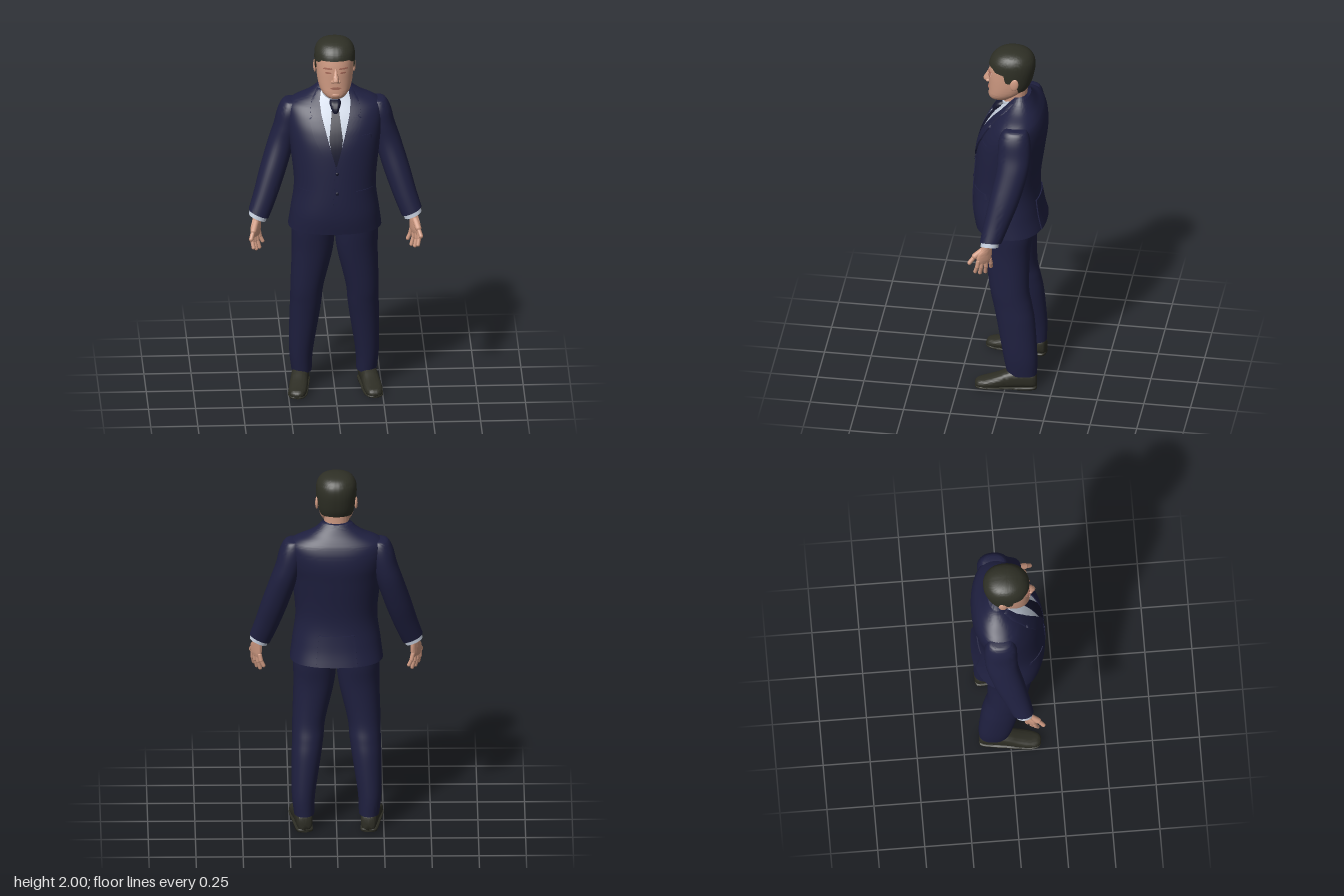
import * as THREE from 'three';
import { mergeVertices, toCreasedNormals } from 'three/addons/utils/BufferGeometryUtils.js';

const material = (name, color) => {
  const m = new THREE.MeshStandardMaterial({ color });
  m.name = name;
  return m;
};

// Grid surface from fn(i, j); the front lies on the side of dj x di.
function grid(nu, nv, fn) {
  const pos = [], idx = [];
  for (let j = 0; j <= nv; j++) for (let i = 0; i <= nu; i++) pos.push(...fn(i, j));
  for (let j = 0; j < nv; j++) for (let i = 0; i < nu; i++) {
    const a = j * (nu + 1) + i, b = a + nu + 1;
    idx.push(a, b, a + 1, a + 1, b, b + 1);
  }
  const g = new THREE.BufferGeometry();
  g.setAttribute('position', new THREE.Float32BufferAttribute(pos, 3));
  g.setIndex(idx);
  return toCreasedNormals(mergeVertices(g, 1e-5), 1.0);
}

// Section rows are [y, centreX, halfWidth, zBack, zFront, power, tilt].
function section(keys, t) {
  const n = keys.length - 1, i = Math.min(n - 1, Math.floor(t)), f = t - i;
  const k = (o, c) => keys[Math.max(0, Math.min(n, i + o))][c] ?? (c === 5 ? 2.2 : 0);
  return [0, 1, 2, 3, 4, 5, 6].map((c) => {
    const [a, b, d, e] = [k(-1, c), k(0, c), k(1, c), k(2, c)];
    return b + 0.5 * f * (d - a + f * (2 * a - 5 * b + 4 * d - e + f * (3 * (b - d) + e - a)));
  });
}
function sectionAt(keys, y) {
  let lo = 0, hi = keys.length - 1;
  for (let i = 0; i < 24; i++) {
    const m = (lo + hi) / 2;
    if (section(keys, m)[0] < y) lo = m; else hi = m;
  }
  return section(keys, lo);
}
function ringPoint([y, cx, rx, zb, zf, p, tilt], a, grow = 0) {
  const pw = (v) => Math.sign(v) * Math.abs(v) ** (2 / p);
  const dx = (rx + grow) * pw(Math.cos(a));
  return [cx + dx, y + tilt * dx, (zb + zf) / 2 + ((zf - zb) / 2 + grow) * pw(Math.sin(a))];
}
// Closed smooth body through the sections.
function loft(keys, nu = 40, per = 5) {
  const nv = (keys.length - 1) * per;
  return grid(nu, nv + 2, (i, j) => {
    const s = section(keys, Math.max(0, Math.min(nv, j - 1)) / per);
    if (j === 0 || j === nv + 2) return [s[1], s[0], (s[3] + s[4]) / 2];
    return ringPoint(s, (i % nu) / nu * Math.PI * 2);
  });
}
// Thin panel following a body; rows are [y, x0, x1] from the top down.
function panel(keys, rows, off, back = false) {
  const per = 6, nu = 12, nv = (rows.length - 1) * per;
  return grid(nu, nv + 2, (i, j) => {
    const t = Math.max(0, Math.min(nv, j - 1)) / per;
    const r = Math.min(rows.length - 2, Math.floor(t)), f = t - r;
    const [y, x0, x1] = rows[r].map((v, c) => v + (rows[r + 1][c] - v) * f);
    let u = Math.max(0, Math.min(1, (i - 1) / (nu - 2)));
    if (back) u = 1 - u;
    const x = x0 + (x1 - x0) * u;
    const [, cx, rx, zb, zf, p] = sectionAt(keys, y);
    const d = (zf - zb) / 2 * (1 - Math.min(0.985, Math.abs((x - cx) / rx)) ** p) ** (1 / p);
    const edge = i === 0 || i === nu || j === 0 || j === nv + 2;
    return [x, y, (zb + zf) / 2 + (back ? -1 : 1) * (d + (edge ? -0.004 : off))];
  });
}
const flip = (rows) => rows.map(([y, a, b]) => [y, -b, -a]);

const TORSO = [
  [0.95, 0, 0.247, -0.19, 0.183, 2.4], [1.05, 0, 0.234, -0.168, 0.197, 2.3], [1.2, 0, 0.217, -0.155, 0.193, 2.2],
  [1.4, 0, 0.237, -0.18, 0.175, 2.2], [1.5, 0, 0.25, -0.193, 0.148, 2.3], [1.57, 0, 0.255, -0.19, 0.112, 2.4],
  [1.62, 0, 0.25, -0.176, 0.076, 2.4], [1.65, 0, 0.215, -0.16, 0.05, 2.3], [1.68, 0, 0.15, -0.14, 0.025, 2.2],
  [1.71, 0, 0.105, -0.122, 0.005, 2.1], [1.735, 0, 0.083, -0.107, -0.01, 2]];
const HEAD = [
  [1.692, 0, 0.03, 0.02, 0.1], [1.705, 0, 0.055, -0.01, 0.115], [1.73, 0, 0.076, -0.04, 0.118],
  [1.76, 0, 0.088, -0.075, 0.117], [1.8, 0, 0.095, -0.1, 0.117], [1.85, 0, 0.099, -0.115, 0.117],
  [1.9, 0, 0.101, -0.123, 0.111], [1.94, 0, 0.097, -0.118, 0.1], [1.97, 0, 0.08, -0.098, 0.075],
  [1.985, 0, 0.057, -0.07, 0.046], [1.992, 0, 0.03, -0.04, 0.018], [1.994, 0, 0.001, -0.012, -0.01]];
const ARM = [
  [1.64, 0.225, 0.02, -0.09, -0.03], [1.63, 0.23, 0.045, -0.12, 0.005], [1.58, 0.236, 0.065, -0.138, 0.028],
  [1.5, 0.252, 0.069, -0.143, 0.032], [1.4, 0.283, 0.067, -0.133, 0.036, 2.2, 0.2],
  [1.25, 0.33, 0.065, -0.093, 0.066, 2.2, 0.3], [1.12, 0.372, 0.058, -0.045, 0.09, 2.2, 0.4],
  [1.03, 0.405, 0.053, -0.01, 0.105, 2.2, 0.45]].reverse();
const LEG = [
  [0.085, 0.172, 0.054, -0.165, -0.005], [0.2, 0.175, 0.063, -0.167, 0.015], [0.4, 0.16, 0.078, -0.152, 0.05],
  [0.5, 0.152, 0.083, -0.135, 0.07], [0.6, 0.146, 0.088, -0.118, 0.09], [0.8, 0.12, 0.108, -0.12, 0.12],
  [0.92, 0.115, 0.115, -0.135, 0.14], [1.0, 0.115, 0.113, -0.14, 0.15]];
// Shoe sections run from heel to toe: [length, x, halfWidth, -top, -bottom].
const SHOE = [
  [-0.165, 0, 0.02, -0.07, -0.01, 2.6], [-0.15, 0, 0.04, -0.1, -0.005, 2.6], [-0.08, 0, 0.045, -0.112, -0.005, 2.6],
  [-0.02, 0, 0.046, -0.105, -0.005, 2.6], [0.05, 0, 0.049, -0.076, -0.005, 2.6], [0.11, 0, 0.047, -0.056, -0.005, 2.6],
  [0.15, 0, 0.034, -0.045, -0.005, 2.6], [0.163, 0, 0.012, -0.03, -0.01, 2.6]];
// Height of the hairline, by direction from back (-1) to front (1).
const HAIRLINE = [[-1, 1.775], [-0.6, 1.775], [-0.45, 1.8], [-0.32, 1.868], [-0.15, 1.868], [-0.08, 1.838],
  [0.1, 1.842], [0.2, 1.888], [0.6, 1.895], [0.75, 1.91], [1, 1.912]];

export function createModel() {
  const model = new THREE.Group();
  model.name = 'manInSuit';
  const suit = material('navy suit', 0x1f2040);
  const tieCloth = material('dark navy tie', 0x15162d);
  const shirt = material('pale shirt', 0xc6cfde);
  const skin = material('skin', 0xcf9a82);
  const shade = material('lips', 0xa56b5a);
  const hairMat = material('dark hair', 0x2f3026);
  const leather = material('shoe leather', 0x2d2d24);
  const add = (name, geo, mat, parent = model) => {
    const m = new THREE.Mesh(geo, mat);
    m.name = name;
    parent.add(m);
    return m;
  };
  const ball = (name, mat, p, s, parent) => {
    const m = add(name, new THREE.SphereGeometry(1, 24, 16), mat, parent);
    m.position.set(...p);
    m.scale.set(...s);
    return m;
  };
  const rod = (name, mat, a, b, r, parent) => {
    const A = new THREE.Vector3(...a), B = new THREE.Vector3(...b), d = B.clone().sub(A);
    const m = add(name, new THREE.CapsuleGeometry(r, d.length(), 6, 14), mat, parent);
    m.position.copy(A).add(B).multiplyScalar(0.5);
    m.quaternion.setFromUnitVectors(new THREE.Vector3(0, 1, 0), d.normalize());
  };

  // Jacket, shirt front and tie
  add('jacket', loft(TORSO, 64, 6), suit);
  add('jacketFrontOverlap', panel(TORSO, [[1.34, -0.005, 0.03], [1.15, -0.015, 0.05], [0.99, -0.012, 0.06], [0.956, 0.02, 0.06]], 0.004), suit);
  add('jacketBackPanel', panel(TORSO, [[1.12, -0.095, 0.095], [0.953, -0.11, 0.11]], 0.006, true), suit);
  add('shirtFront', panel(TORSO, [[1.7, -0.085, 0.085], [1.6, -0.075, 0.075], [1.34, -0.004, 0.004]], 0.003), shirt);
  add('tieBlade', panel(TORSO, [[1.63, -0.018, 0.018], [1.48, -0.036, 0.036], [1.43, -0.028, 0.028], [1.34, -0.004, 0.004]], 0.008), tieCloth);
  add('tieKnot', loft([[1.608, 0, 0.014, 0.06, 0.1], [1.63, 0, 0.023, 0.045, 0.098], [1.655, 0, 0.031, 0.03, 0.083], [1.668, 0, 0.026, 0.02, 0.065]], 24), tieCloth);
  const lapel = [[1.71, 0.072, 0.092], [1.66, 0.082, 0.125], [1.6, 0.075, 0.135], [1.595, 0.074, 0.118], [1.58, 0.07, 0.138], [1.5, 0.048, 0.12], [1.4, 0.02, 0.07], [1.33, 0.0, 0.018]];
  const collarWing = [[1.705, 0.035, 0.078], [1.67, 0.03, 0.085], [1.63, 0.06, 0.078], [1.62, 0.066, 0.072]];
  const flap = [[1.195, 0.105, 0.195], [1.165, 0.108, 0.2]];
  for (const [side, f] of [['left', (r) => r], ['right', flip]]) {
    add(side + 'Lapel', panel(TORSO, f(lapel), 0.009), suit);
    add(side + 'ShirtCollarWing', panel(TORSO, f(collarWing), 0.008), shirt);
    add(side + 'PocketFlap', panel(TORSO, f(flap), 0.005), suit);
  }
  add('breastPocket', panel(TORSO, [[1.495, 0.135, 0.19], [1.475, 0.135, 0.19]], 0.004), suit);
  for (const [y, z] of [[1.3, 0.192], [1.19, 0.199]]) {
    ball('jacketButton', tieCloth, [0.004, y, z], [0.009, 0.009, 0.004]);
  }

  // Neck and shirt collar
  add('neck', loft([[1.64, 0, 0.068, -0.09, 0.035], [1.72, 0, 0.066, -0.088, 0.042], [1.8, 0, 0.068, -0.09, 0.04]]), skin);
  const collar = add('shirtCollar', loft([[-0.05, 0, 0.082, -0.07, 0.08], [0, 0, 0.077, -0.072, 0.075], [0.022, 0, 0.074, -0.07, 0.071]]), shirt);
  collar.position.set(0, 1.69, -0.028);
  collar.rotation.x = 0.35;

  // Head and face
  const head = new THREE.Group();
  head.name = 'head';
  model.add(head);
  add('face', loft(HEAD, 48, 6), skin, head);
  add('nose', loft([[1.79, 0, 0.01, 0.09, 0.122], [1.799, 0, 0.02, 0.09, 0.143], [1.812, 0, 0.017, 0.09, 0.147],
    [1.845, 0, 0.011, 0.09, 0.129], [1.87, 0, 0.008, 0.09, 0.117]], 24), skin, head);
  add('lips', panel(HEAD, [[1.767, -0.012, 0.012], [1.761, -0.03, 0.03], [1.753, -0.015, 0.015]], 0.004), shade, head);
  ball('chin', skin, [0, 1.72, 0.1], [0.032, 0.02, 0.021], head);
  for (const [side, s, f] of [['left', 1, (r) => r], ['right', -1, flip]]) {
    add(side + 'Eye', panel(HEAD, f([[1.851, 0.028, 0.05], [1.846, 0.023, 0.056], [1.842, 0.03, 0.05]]), 0.003), shade, head);
    add(side + 'Brow', panel(HEAD, f([[1.874, 0.022, 0.06], [1.866, 0.017, 0.066]]), 0.005), shade, head);
    ball(side + 'Ear', skin, [s * 0.104, 1.835, -0.033], [0.009, 0.036, 0.022], head).rotation.x = -0.15;
    ball(side + 'Nostril', skin, [s * 0.016, 1.8, 0.12], [0.01, 0.009, 0.013], head);
  }
  // Hair shell rising from the hairline
  add('hair', grid(96, 25, (i, j) => {
    const a = (i % 96) / 96 * Math.PI * 2, s = Math.sin(a);
    const k = Math.max(1, HAIRLINE.findIndex((h) => h[0] >= s - 1e-9));
    const [[s0, y0], [s1, y1]] = [HAIRLINE[k - 1], HAIRLINE[k]];
    const y = y0 + (y1 - y0) * (s - s0) / (s1 - s0);
    const v = Math.max(0, j - 1) / 24;
    const p = ringPoint(sectionAt(HEAD, y + (1.994 - y) * (1 - (1 - v) ** 2)), a, j === 0 ? -0.003 : 0.007 * (1 - v ** 6));
    p[1] += 0.006 * v;
    return p;
  }), hairMat, head);

  // One side of limbs, then its mirror
  const limbs = new THREE.Group();
  limbs.name = 'leftLimbs';
  add('sleeve', loft(ARM, 36, 6), suit, limbs);
  add('shirtCuff', loft([[1.008, 0.413, 0.045, 0.006, 0.1, 2.2, 0.45], [1.05, 0.4, 0.045, 0, 0.096, 2.2, 0.45]], 32), shirt, limbs);
  add('trouserLeg', loft(LEG, 40, 6), suit, limbs);

  const hand = new THREE.Group();
  hand.name = 'hand';
  hand.position.set(0.412, 1.02, 0.06);
  hand.rotation.y = -0.985;
  limbs.add(hand);
  add('palm', loft([[-0.108, 0.024, 0.036, -0.008, 0.012], [-0.09, 0.024, 0.043, -0.013, 0.017], [-0.05, 0.02, 0.042, -0.017, 0.02],
    [-0.015, 0.008, 0.03, -0.019, 0.019], [0.03, 0, 0.028, -0.02, 0.02]], 28), skin, hand);
  [[-0.01, -0.024, 0.15], [0.013, 0.008, 0.174], [0.036, 0.04, 0.172], [0.056, 0.068, 0.158]].forEach(([x0, x1, len]) => {
    const mid = [(x0 + x1) / 2, -(0.09 + len) / 2, 0.004];
    rod('fingerBase', skin, [x0, -0.09, 0.001], mid, 0.0118, hand);
    rod('fingerTip', skin, mid, [x1, -len, 0.016], 0.0105, hand);
  });
  rod('thumbBase', skin, [0.03, -0.03, 0.006], [0.07, -0.062, 0.016], 0.0165, hand);
  rod('thumbTip', skin, [0.07, -0.062, 0.016], [0.1, -0.098, 0.02], 0.0115, hand);

  const shoe = new THREE.Group();
  shoe.name = 'shoe';
  shoe.position.set(0.188, 0, 0);
  shoe.rotation.y = 0.13;
  limbs.add(shoe);
  add('shoeUpper', loft(SHOE, 36), leather, shoe).rotation.x = Math.PI / 2;
  const sole = SHOE.map(([l, x, r]) => [l, x, r + 0.003, -0.018, l < -0.04 ? 0 : -0.006, 5]);
  add('shoeSole', loft(sole, 36), leather, shoe).rotation.x = Math.PI / 2;

  const mirror = limbs.clone();
  mirror.name = 'rightLimbs';
  mirror.scale.x = -1;
  model.add(limbs, mirror);
  return model;
}
